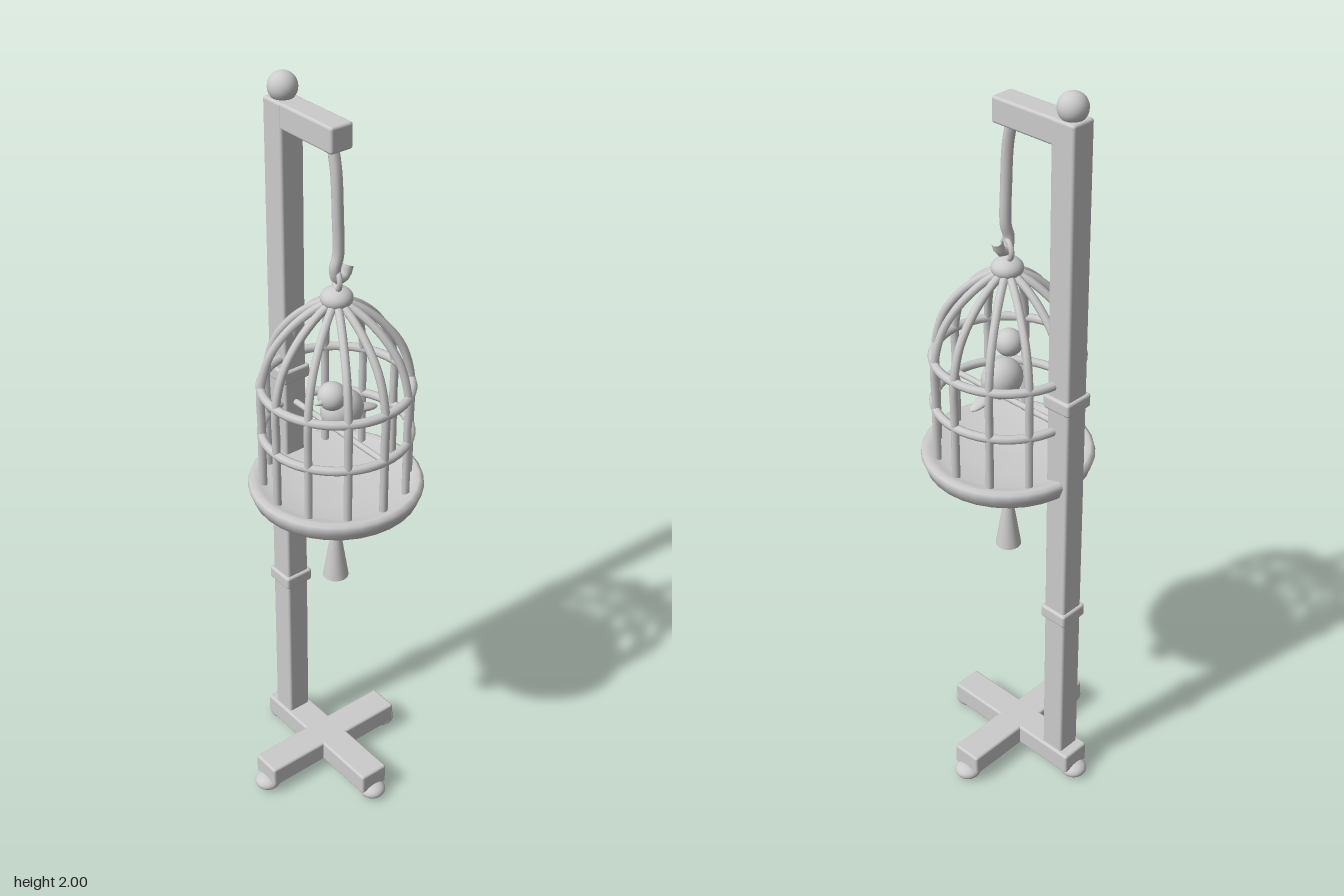
import * as THREE from 'three';
import { RoundedBoxGeometry } from 'three/addons/geometries/RoundedBoxGeometry.js';

const grey = new THREE.MeshStandardMaterial({ color: 0xcccccc });
grey.name = 'plain grey';
const V = (x, y, z = 0) => new THREE.Vector3(x, y, z);

function add(parent, name, geometry, x = 0, y = 0, z = 0) {
  const mesh = new THREE.Mesh(geometry, grey);
  mesh.name = name;
  mesh.position.set(x, y, z);
  parent.add(mesh);
  return mesh;
}
const box = (w, h, d) => new RoundedBoxGeometry(w, h, d, 2, 0.007);
const ball = (r, ry = r, rz = r) => new THREE.SphereGeometry(1, 24, 16).scale(r, ry, rz);
const tube = (points, r, n = 24) =>
  new THREE.TubeGeometry(new THREE.CatmullRomCurve3(points), n, r, 8);
const lathe = (pairs) =>
  new THREE.LatheGeometry(pairs.map(([r, y]) => new THREE.Vector2(r, y)), 32);

function createStand() {
  const stand = new THREE.Group();
  stand.name = 'stand';
  const baseZ = -0.011, postZ = -0.166;

  // crossed base on four bun feet
  add(stand, 'baseBarAcross', box(0.434, 0.062, 0.084), 0, 0.06, baseZ);
  add(stand, 'baseBarLengthwise', box(0.084, 0.062, 0.434), 0, 0.06, baseZ);
  for (let i = 0; i < 4; i++) {
    const a = i * Math.PI / 2;
    add(stand, 'foot', ball(0.036, 0.022, 0.036),
      Math.cos(a) * 0.209, 0.022, baseZ + Math.sin(a) * 0.209);
  }

  // post, collars, arm and finial
  add(stand, 'post', box(0.067, 1.88, 0.068), 0, 1.0, postZ);
  for (const y of [0.567, 1.222]) add(stand, 'collar', box(0.083, 0.037, 0.083), 0, y, postZ);
  add(stand, 'arm', box(0.064, 0.064, 0.235), 0, 1.908, -0.068);
  add(stand, 'finial', ball(0.036), 0, 1.964, postZ);

  // hanging hook with a curled end
  add(stand, 'hook', tube([
    V(0, 1.885, 0.015), V(0, 1.82, 0.028), V(0, 1.72, 0.034), V(0, 1.62, 0.036),
    V(-0.008, 1.585, 0.034), V(0, 1.558, 0.032), V(0.022, 1.56, 0.032), V(0.033, 1.585, 0.032),
  ], 0.014, 40));
  return stand;
}

function createBird() {
  const bird = new THREE.Group();
  bird.name = 'bird';
  add(bird, 'body', ball(0.058, 0.053, 0.048), 0.01, 1.2, 0.01);
  add(bird, 'head', ball(0.036), -0.042, 1.27, 0.036);
  const beak = add(bird, 'beak', new THREE.ConeGeometry(0.011, 0.035, 10), -0.083, 1.265, 0.037);
  beak.rotation.z = Math.PI / 2;
  const tail = add(bird, 'tail', ball(0.045, 0.009, 0.018), 0.085, 1.172, 0.002);
  tail.rotation.z = -0.25;
  return bird;
}

function createCage() {
  const cage = new THREE.Group();
  cage.name = 'cage';
  cage.position.z = 0.031;

  // dished tray with a stepped underside
  add(cage, 'tray', lathe([
    [0, 0.9], [0.092, 0.9], [0.105, 0.912], [0.127, 0.94], [0.135, 0.946], [0.198, 0.946],
    [0.212, 0.955], [0.218, 0.972], [0.223, 0.985], [0.22, 0.997], [0.21, 1.002],
    [0.195, 0.998], [0.17, 0.99], [0.1, 0.983], [0, 0.98],
  ]));

  // bars that bend into the dome
  const bar = tube([
    V(0.185, 0.985), V(0.185, 1.08), V(0.185, 1.18), V(0.185, 1.27), V(0.162, 1.36),
    V(0.118, 1.425), V(0.065, 1.472), V(0.015, 1.5),
  ], 0.0105, 28);
  for (let i = 0; i < 12; i++) add(cage, 'bar', bar).rotation.y = i * Math.PI / 6;

  // hoops
  for (const y of [1.14, 1.27]) {
    add(cage, 'hoop', new THREE.TorusGeometry(0.185, 0.0115, 8, 48), 0, y).rotation.x = Math.PI / 2;
  }

  // crown and hanging ring
  add(cage, 'crown', ball(0.04, 0.028, 0.04), 0, 1.508);
  add(cage, 'hangingRing', new THREE.TorusGeometry(0.024, 0.007, 8, 24), 0, 1.556).rotation.y = 1.2;

  // perch and its bird
  add(cage, 'perch', new THREE.CylinderGeometry(0.008, 0.008, 0.37, 10), 0, 1.14).rotation.x = Math.PI / 2;
  cage.add(createBird());

  // beads and tassel below
  add(cage, 'upperBead', ball(0.023), 0, 0.886);
  add(cage, 'lowerBead', ball(0.023, 0.033, 0.023), 0, 0.842);
  add(cage, 'tassel', new THREE.CylinderGeometry(0.014, 0.034, 0.13, 20), 0, 0.75);
  return cage;
}

export function createModel() {
  const model = new THREE.Group();
  model.name = 'birdcageOnStand';
  model.add(createStand(), createCage());
  return model;
}
